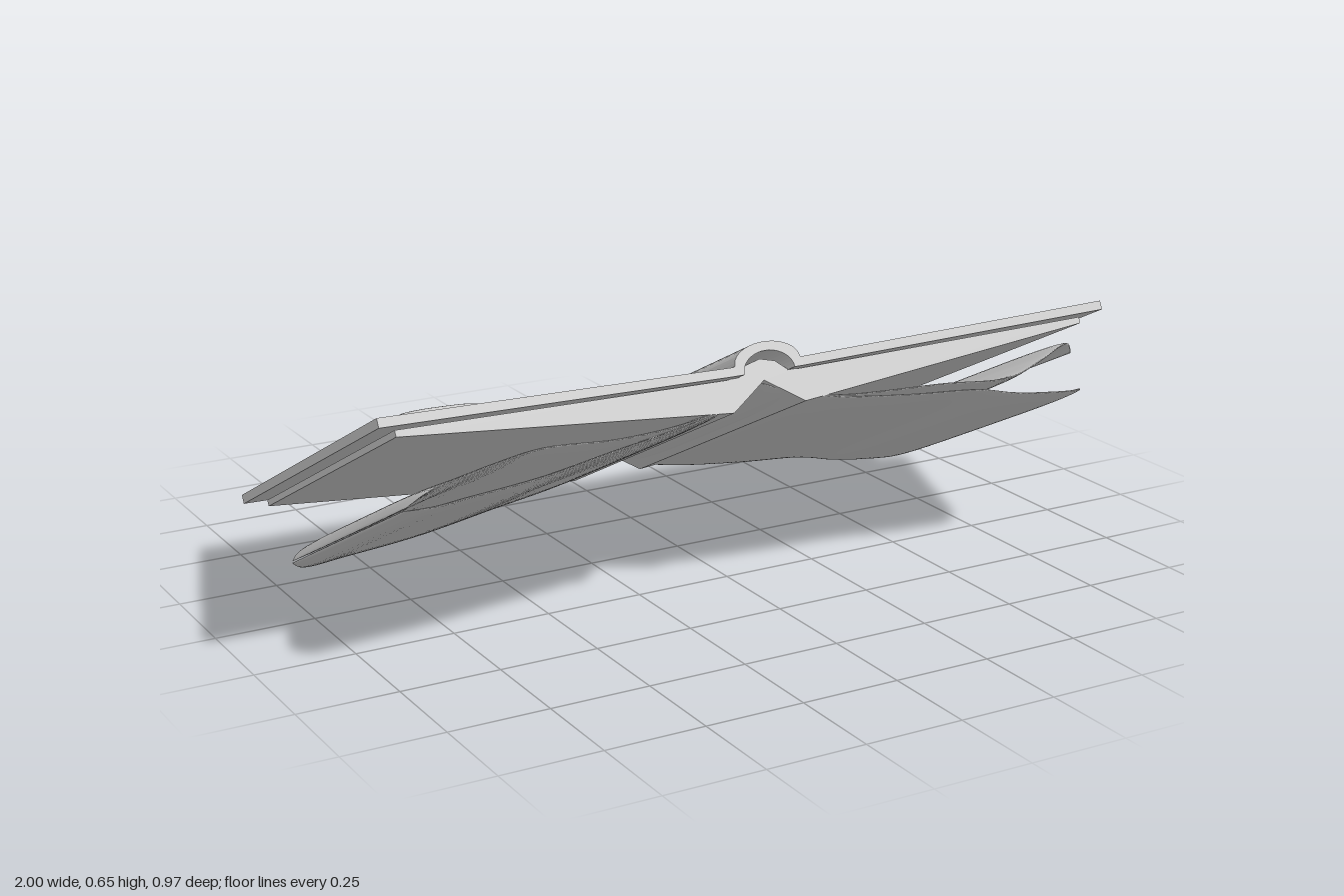
import * as THREE from 'three';
import { ParametricGeometry } from 'three/addons/geometries/ParametricGeometry.js';

const material = new THREE.MeshStandardMaterial({ color: 0xcccccc, side: THREE.DoubleSide });

function add(parent, name, geometry) {
  const mesh = new THREE.Mesh(geometry, material);
  mesh.name = name;
  parent.add(mesh);
  return mesh;
}

// Symmetric profile: half outlines (x >= 0) run from the centre outwards
function extrudeProfile(top, bottom, z0, z1) {
  const mirror = (pts) => pts.filter(([x]) => x > 0).reverse().map(([x, y]) => [-x, y]);
  const loop = [...mirror(bottom), ...bottom, ...[...top].reverse(), ...mirror(top).reverse()];
  const shape = new THREE.Shape(loop.map(([x, y]) => new THREE.Vector2(x, y)));
  const geometry = new THREE.ExtrudeGeometry(shape, { depth: z1 - z0, bevelEnabled: false });
  return geometry.translate(0, 0, z0);
}

// Points along the rounded spine, from its crown to its side
function arch(rx, y0, ry, n = 10) {
  return Array.from({ length: n + 1 }, (_, i) => {
    const a = (i / n) * Math.PI / 2;
    return [rx * Math.sin(a), y0 + ry * Math.cos(a)];
  });
}

// Loose bundle of pages: thin pillow following a curve away from the spine
function pageGeometry(side, profile, z0, z1, thickness) {
  const curve = new THREE.CatmullRomCurve3(profile.map(([x, y]) => new THREE.Vector3(x, y, 0)));
  const mid = (z0 + z1) / 2;
  return new ParametricGeometry((u, v, target) => {
    const t = side > 0 ? u : 1 - u;
    const p = curve.getPoint(t);
    const a = v * Math.PI * 2, c = Math.cos(a);
    // Rounded outer corners, slight inset at the spine
    const corner = Math.max(0, (p.x - 0.88) / 0.065);
    const inset = 0.07 * corner * corner + 0.02 * Math.exp(-p.x / 0.05);
    const half = (z1 - z0) / 2 - inset;
    const thick = thickness * Math.sqrt(Math.max(0, Math.min(1, (1 - t) * 8, 0.3 + t * 8)));
    target.set(side * p.x, p.y + thick * Math.sin(a), mid + half * Math.sign(c) * Math.sqrt(Math.abs(c)));
  }, 48, 32);
}

// Almond eye: raised lid swept between two outlines, with an eyeball inside
const LID_OUTER = [[-0.225, -0.07], [-0.2, -0.14], [-0.14, -0.18], [-0.05, -0.185], [0.075, -0.135],
  [0.175, -0.02], [0.225, 0.09], [0.22, 0.16], [0.16, 0.19], [0.08, 0.19], [-0.04, 0.16], [-0.14, 0.09]];
const LID_INNER = [[-0.14, -0.08], [-0.13, -0.11], [-0.09, -0.13], [-0.02, -0.125], [0.06, -0.09],
  [0.12, -0.02], [0.145, 0.06], [0.14, 0.09], [0.1, 0.1], [0.04, 0.09], [-0.05, 0.065], [-0.11, 0.01]];

function createEye(name, side, scale) {
  const eye = new THREE.Group();
  eye.name = name;
  const spline = (pts) => new THREE.CatmullRomCurve3(
    pts.map(([x, z]) => new THREE.Vector3(side * x, 0, z).multiplyScalar(scale)), true);
  const outer = spline(LID_OUTER), inner = spline(LID_INNER);
  add(eye, 'eyelid', new ParametricGeometry((u, v, target) => {
    const t = side > 0 ? 1 - u : u;
    target.copy(outer.getPoint(t)).lerp(inner.getPoint(t), v);
    target.y = 0.058 * scale * Math.sin(Math.PI * v);
  }, 64, 12));
  const ball = add(eye, 'eyeball', new THREE.SphereGeometry(1, 32, 12, 0, Math.PI * 2, 0, Math.PI / 2));
  ball.scale.set(0.135, 0.072, 0.115).multiplyScalar(scale);
  ball.position.set(-0.005 * side * scale, 0, -0.01 * scale);
  return eye;
}

export function createModel() {
  const model = new THREE.Group();
  model.name = 'openBook';
  const book = new THREE.Group();
  book.name = 'tiltedBook';
  book.rotation.x = -0.4667;
  model.add(book);

  // Cover boards joined by the arched spine
  add(book, 'cover', extrudeProfile(
    [...arch(0.09, 0.357, 0.048), [0.095, 0.355], [1, 0.372]],
    [...arch(0.07, 0.333, 0.05), [0.1, 0.333], [1, 0.349]],
    -0.334, 0.663));

  // Wedge-shaped block of pages under the cover
  add(book, 'pageBlock', extrudeProfile(
    [[0, 0.37], [0.04, 0.36], [0.07, 0.335], [0.1, 0.332], [0.95, 0.344]],
    [[0, 0.318], [0.03, 0.298], [0.1, 0.252], [0.95, 0.328]],
    -0.297, 0.627));

  // Loose pages fanning down from the spine
  const pages = [
    ['lowerRightPages', -1, [[0, 0.315], [0.08, 0.275], [0.2, 0.245], [0.4, 0.215], [0.6, 0.185],
      [0.8, 0.168], [0.9, 0.161], [0.945, 0.17]]],
    ['lowerLeftPages', 1, [[0, 0.315], [0.08, 0.275], [0.2, 0.248], [0.4, 0.223], [0.6, 0.205],
      [0.7, 0.182], [0.8, 0.168], [0.9, 0.161], [0.945, 0.17]]],
    ['upperRightPages', -1, [[0, 0.318], [0.1, 0.272], [0.2, 0.25], [0.4, 0.238], [0.6, 0.248],
      [0.7, 0.235], [0.8, 0.217], [0.9, 0.198], [0.94, 0.175]]],
    ['upperLeftPages', 1, [[0, 0.318], [0.1, 0.272], [0.2, 0.252], [0.5, 0.235], [0.7, 0.222],
      [0.8, 0.25], [0.9, 0.283], [0.935, 0.262]]],
  ];
  for (const [name, side, profile] of pages) {
    add(book, name, pageGeometry(side, profile, -0.297, 0.627, 0.01));
  }

  // Eyes on the outside of the cover
  const largeEye = createEye('largeEye', 1, 1);
  largeEye.position.set(0.675, 0.365, -0.04);
  const smallEye = createEye('smallEye', -1, 0.7);
  smallEye.position.set(-0.71, 0.366, 0.337);
  book.add(largeEye, smallEye);

  return model;
}
